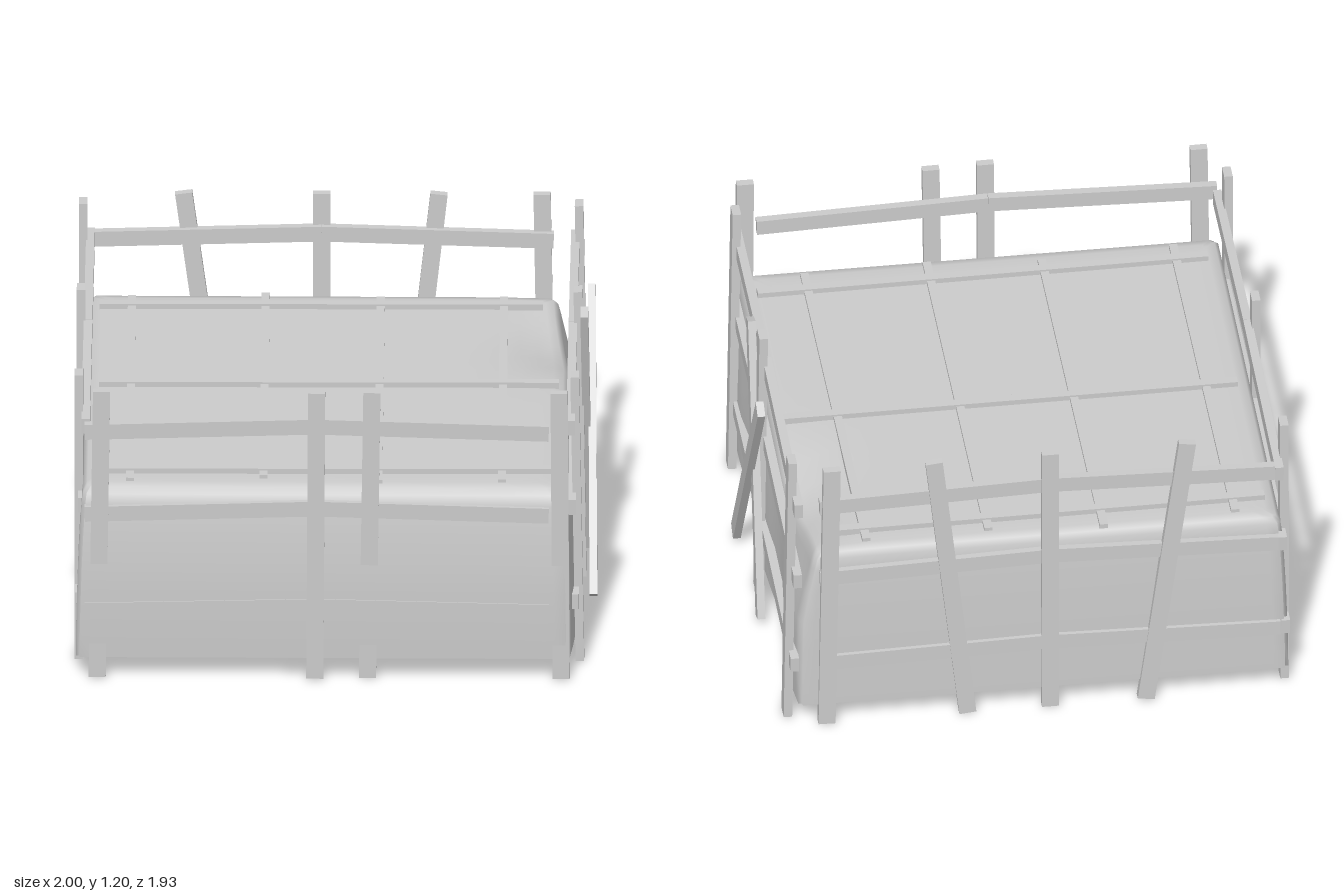
import * as THREE from 'three';

const mat = new THREE.MeshStandardMaterial({ color: 0xcccccc });
const clothMat = new THREE.MeshStandardMaterial({ color: 0xcccccc, side: THREE.DoubleSide });
const X = new THREE.Vector3(1, 0, 0), Y = new THREE.Vector3(0, 1, 0), Z = new THREE.Vector3(0, 0, 1);

// Plank from a to b; "facing" is the direction its thickness points
function plank(name, a, b, width, thick, facing) {
  const p = new THREE.Vector3(...a), q = new THREE.Vector3(...b);
  const dir = q.clone().sub(p);
  const length = dir.length();
  dir.normalize();
  const side = new THREE.Vector3().crossVectors(dir, facing).normalize();
  const out = new THREE.Vector3().crossVectors(side, dir);
  const mesh = new THREE.Mesh(new THREE.BoxGeometry(width, length, thick), mat);
  mesh.quaternion.setFromRotationMatrix(new THREE.Matrix4().makeBasis(side, dir, out));
  mesh.position.copy(p).add(q).multiplyScalar(0.5);
  mesh.name = name;
  return mesh;
}

// Draped cloth: rings from the hem up the walls and in across the top
function drapedCloth() {
  const SEG = 18, N = SEG * 4;
  // y, left x, right x, back z, front z
  const rings = [
    [0.085, -0.994, 0.92, -0.948, 0.957],
    [0.2, -0.993, 0.921, -0.947, 0.962],
    [0.35, -0.989, 0.919, -0.944, 0.963],
    [0.47, -0.985, 0.915, -0.941, 0.96],
    [0.6, -0.979, 0.905, -0.936, 0.949],
    [0.71, -0.972, 0.893, -0.929, 0.936],
    [0.755, -0.967, 0.885, -0.924, 0.926],
    [0.778, -0.95, 0.865, -0.91, 0.905],
  ];
  const top = rings[rings.length - 1];
  for (const s of [0.96, 0.9, 0.82, 0.73, 0.63, 0.5, 0.3, 0.001])
    rings.push([0.785, -0.045 - 0.905 * s, -0.045 + 0.91 * s, top[3] * s, top[4] * s]);

  const pos = [], index = [];
  rings.forEach(([y, l, r, b, f], k) => {
    for (let i = 0; i < N; i++) {
      const side = Math.floor(i / SEG);
      let u = Math.sin(((i % SEG) / SEG - 0.5) * Math.PI), v = 1;
      if (i % SEG === 0) { u = -0.985; v = 0.985; }           // blunt corner
      const [px, pz] = [[u, v], [v, -u], [-u, -v], [-v, u]][side];
      let x = (l + r) / 2 + px * (r - l) / 2;
      const z = (b + f) / 2 + pz * (f - b) / 2;
      // sag in the back left part of the top, and a slack right-hand edge
      const up = THREE.MathUtils.smoothstep(y, 0.45, 0.77);
      const sag = Math.exp(-(((x - 0.86) / 0.16) ** 2) - ((z + 0.5) / 0.24) ** 2);
      if (x > 0.6) {
        x -= up * 0.05 * THREE.MathUtils.smoothstep(-z, 0.3, 0.9) * (x - 0.6) / 0.3;
        x -= (1 - up) * 0.012 * (1 - Math.cos(z * 9)) * (x > 0.85 ? 1 : 0);
      }
      pos.push(x, y - up * 0.07 * sag, z);
      if (k < rings.length - 1) {
        const a = k * N + i, c = k * N + (i + 1) % N;
        index.push(a, c, a + N, c, c + N, a + N);
      }
    }
  });
  const geo = new THREE.BufferGeometry();
  geo.setAttribute('position', new THREE.Float32BufferAttribute(pos, 3));
  geo.setIndex(index);
  geo.computeVertexNormals();
  const mesh = new THREE.Mesh(geo, clothMat);
  mesh.name = 'drapedCloth';
  return mesh;
}

// One fence wall. at(u, y, d) maps along-wall u and depth d to a point.
function wall(name, at, facing, posts, railEnds, railDepths) {
  const g = new THREE.Group();
  g.name = name;
  for (const [uTop, uBottom, dTop, dBottom] of posts)
    g.add(plank('post', at(uBottom, 0.003, dBottom), at(uTop, 1.197, dTop), 0.066, 0.033, facing));
  // three rails, each of two lengths that peak at the middle post
  const [u0, um, u1] = railEnds;
  [0.285, 0.68, 1.012].forEach((y, i) => {
    const d = railDepths[i], rise = i === 0 ? 0.02 : 0.026;
    for (const u of [u0, u1])
      g.add(plank('rail', at(u, y, d), at(um, y + rise, d), 0.062, 0.033, facing));
  });
  return g;
}

export function createModel() {
  const model = new THREE.Group();
  model.name = 'coveredCrate';
  model.add(drapedCloth());

  const alongX = (u, y, d) => [u, y, d], alongZ = (u, y, d) => [d, y, u];

  // Fence walls
  model.add(wall('frontWall', alongX, Z,
    [[-0.895, -0.912, 0.943, 0.943], [-0.07, -0.077, 0.951, 0.951],
      [0.142, 0.125, 0.943, 0.943], [0.86, 0.868, 0.943, 0.943]],
    [-0.96, -0.075, 0.82], [0.951, 0.934, 0.908]));
  model.add(wall('backWall', alongX, Z,
    [[-0.6, -0.44, -0.95, -0.95], [-0.07, -0.07, -0.95, -0.95],
      [0.38, 0.25, -0.95, -0.95], [0.775, 0.795, -0.95, -0.95]],
    [-0.96, -0.07, 0.82], [-0.944, -0.936, -0.93]));
  const sideEnds = [0.865, -0.02, -0.955];
  model.add(wall('leftWall', alongZ, X,
    [[0.77, 0.755, 0.918, 0.938], [-0.043, -0.047, 0.922, 0.938], [-0.862, -0.87, 0.918, 0.938]],
    sideEnds, [0.918, 0.907, 0.903]));
  model.add(wall('rightWall', alongZ, X,
    [[0.77, 0.755, -0.984, -0.984], [-0.043, -0.047, -0.984, -0.984], [-0.862, -0.87, -0.984, -0.984]],
    sideEnds, [-0.982, -0.97, -0.957]));

  // Crossed braces leaning on the left wall
  model.add(plank('innerBrace', [0.962, 0.03, -0.28], [0.948, 1.165, 0.105], 0.064, 0.03, X));
  model.add(plank('outerBrace', [0.985, 0.048, 0.262], [0.972, 1.075, -0.36], 0.064, 0.03, X));

  // Lattice of slats on the top
  const slats = new THREE.Group();
  slats.name = 'topSlats';
  for (const [x0, x1, z0, z1] of [[-0.92, 0.78, -0.785, -0.798], [-0.915, 0.85, -0.043, -0.053], [-0.91, 0.835, 0.782, 0.768]])
    slats.add(plank('crossSlat', [x0, 0.793, z0], [x1, 0.793, z1], 0.036, 0.026, Y));
  for (const [z0, z1, x0, x1] of [[-0.87, 0.87, -0.797, -0.787], [-0.9, 0.84, -0.285, -0.275], [-0.865, 0.88, 0.157, 0.165], [-0.87, 0.87, 0.63, 0.64]])
    slats.add(plank('longSlat', [x0, 0.786, z0], [x1, 0.786, z1], 0.032, 0.026, Y));
  model.add(slats);

  return model;
}
